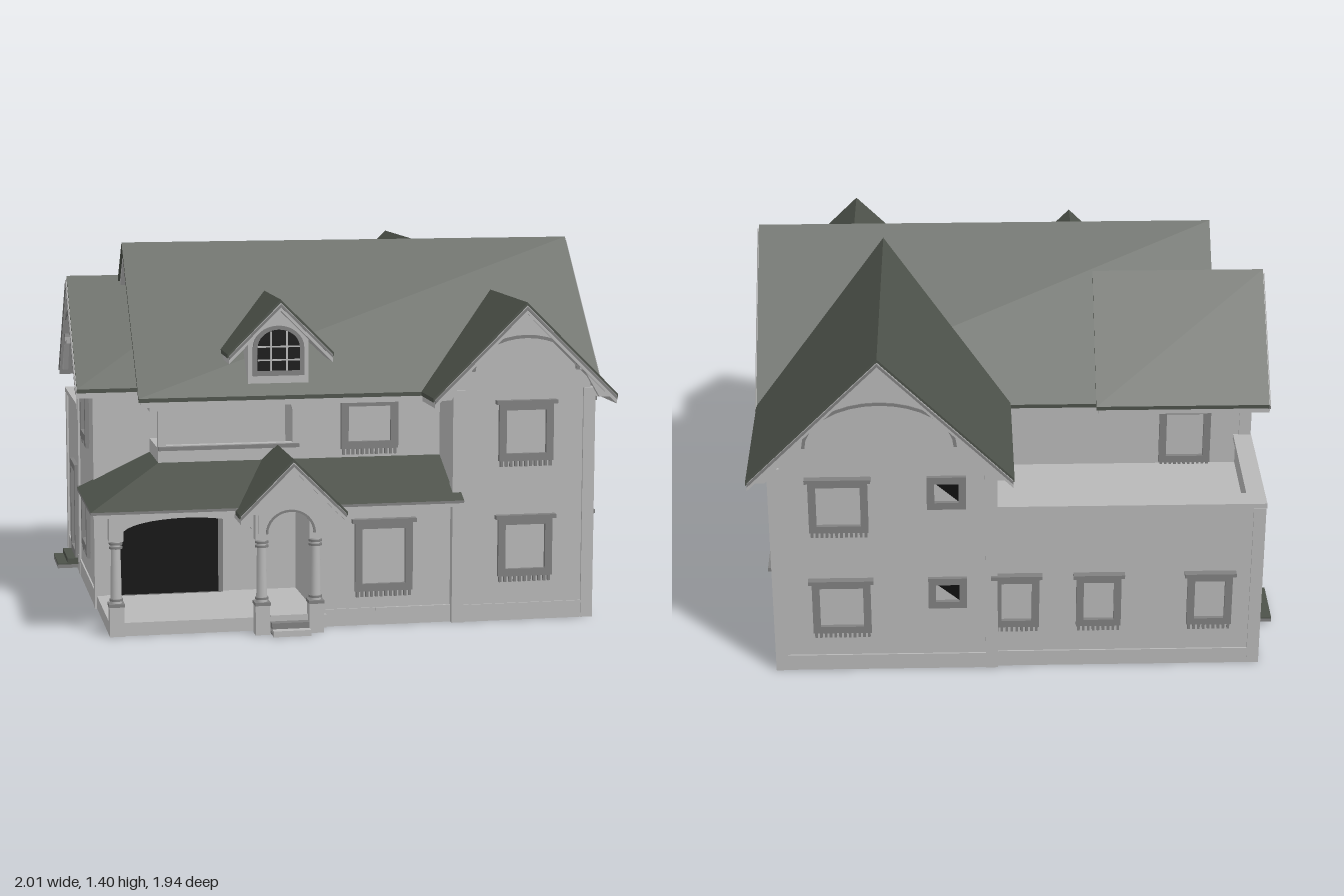
import * as THREE from 'three';

const mat = (name, color) => {
  const m = new THREE.MeshStandardMaterial({ color, side: THREE.DoubleSide });
  m.name = name;
  return m;
};

export function createModel() {
  const wall = mat('wall grey', 0xb8b8b8), trim = mat('trim grey', 0x808080);
  const green = mat('roof green', 0x4d524a), black = mat('dark glass', 0x101010);
  const house = new THREE.Group();
  house.name = 'house';

  const add = (parent, name, geo, m, x = 0, y = 0, z = 0) => {
    const mesh = new THREE.Mesh(geo, m);
    mesh.name = name;
    mesh.position.set(x, y, z);
    parent.add(mesh);
    return mesh;
  };
  // Box given by its two opposite corners
  const box = (parent, name, m, x0, x1, y0, y1, z0, z1) =>
    add(parent, name, new THREE.BoxGeometry(x1 - x0, y1 - y0, z1 - z0), m, (x0 + x1) / 2, (y0 + y1) / 2, (z0 + z1) / 2);
  const poly = (pts) => new THREE.Shape(pts.map(([x, y]) => new THREE.Vector2(x, y)));
  // Flat shape whose front lies at z and which goes back by depth
  const plate = (parent, name, m, shape, depth, z = 0) =>
    add(parent, name, new THREE.ExtrudeGeometry(shape, { depth, bevelEnabled: false, curveSegments: 16 }), m, 0, 0, z - depth);
  const group = (name, x, y, z, rot = 0) => {
    const g = new THREE.Group();
    g.name = name;
    g.position.set(x, y, z);
    g.rotation.y = rot;
    house.add(g);
    return g;
  };
  const arc = (rx, ry, cy, n = 16) => Array.from({ length: n + 1 }, (_, i) => {
    const a = Math.PI * i / n;
    return [rx * Math.cos(a), cy + ry * Math.sin(a)];
  });
  const RIGHT = Math.PI / 2, LEFT = -Math.PI / 2, BACK = Math.PI;

  // ---- Walls ----
  const bodies = [
    ['coreWalls', -0.91, 0.92, 0, 0.87, -0.345, 0.33],
    ['frontRoom', -0.13, 0.4, 0, 0.46, 0.3, 0.79],
    ['upperFrontRoom', -0.17, 0.4, 0.44, 0.87, 0.3, 0.6],
    ['frontWing', 0.38, 0.92, 0, 0.87, 0.3, 0.81],
    ['backWing', 0.09, 0.92, 0, 0.87, -0.89, -0.3],
    ['terraceBlock', -0.91, 0.1, 0, 0.58, -0.88, -0.3],
    ['porchFloor', -0.91, -0.1, 0, 0.05, 0.3, 0.81],
  ];
  for (const [name, ...b] of bodies) box(house, name, wall, ...b);
  // Plinths
  for (const b of [[0.38, 0.926, 0.6, 0.816], [0.09, 0.926, -0.896, 0.8], [-0.13, 0.39, 0.5, 0.796],
    [-0.916, 0.1, -0.886, -0.4], [-0.916, 0, -0.4, 0.33]])
    box(house, 'plinth', wall, b[0], b[1], 0, 0.065, b[2], b[3]);
  // Corner boards
  for (const [x, z, h] of [[0.4, 0.8, 0.88], [0.905, 0.795, 0.88], [0.905, -0.875, 0.88], [0.105, -0.875, 0.88],
    [-0.895, -0.33, 0.88], [-0.895, 0.315, 0.88], [-0.895, -0.865, 0.68]])
    box(house, 'cornerBoard', wall, x - 0.023, x + 0.023, 0, h, z - 0.023, z + 0.023);

  // ---- Terrace parapet ----
  box(house, 'parapetBack', wall, -0.91, 0.1, 0.5, 0.69, -0.88, -0.82);
  box(house, 'parapetLeft', wall, -0.91, -0.86, 0.5, 0.69, -0.88, -0.34);
  box(house, 'parapetCapBack', wall, -0.92, 0.09, 0.685, 0.705, -0.892, -0.81);
  box(house, 'parapetCapLeft', wall, -0.92, -0.85, 0.685, 0.705, -0.892, -0.34);

  // ---- Gable roofs: ridge along local z, front end at local z = 0 ----
  const chevron = (h, e, p, t) => poly([[-h, e], [0, p], [h, e], [h, e - t], [0, p - t], [-h, e - t]]);
  const gableRoof = (name, x, z, rot, h, e, p, len, fascia = true) => {
    const g = group(name, x, 0, z, rot), rise = p - e;
    plate(g, 'roofSlopes', green, chevron(h, e, p, 0.015), len);
    plate(g, 'soffit', wall, chevron(h - 0.005, e - 0.006, p - 0.012, 0.03), len - 0.006, 0.002);
    plate(g, 'bargeBoard', trim, chevron(h - 0.005, e - 0.008, p - 0.016, 0.012), 0.012, 0.006);
    if (fascia) {
      // Arched gable ornament
      const inner = arc(0.55 * h, 0.35 * rise, e + 0.27 * rise);
      plate(g, 'archedFascia', wall, poly([[-h, e - 0.01], [0, p - 0.015], [h, e - 0.01], [h - 0.07, e - 0.01],
        [0.63 * h, e + 0.27 * rise], ...inner, [-0.63 * h, e + 0.27 * rise], [-h + 0.07, e - 0.01]]), 0.02, -0.008);
      plate(g, 'archTrim', trim, poly([...inner, ...arc(0.55 * h + 0.012, 0.35 * rise + 0.012, e + 0.27 * rise).reverse()]), 0.01, -0.004);
    }
    return g;
  };
  // Gable wall filling the end, set back from the roof edge
  const gableWall = (g, w, h, e, p, setback) => {
    const top = (x) => p - 0.03 - (p - e) * x / h;
    plate(g, 'gableWall', wall, poly([[-w, 0.8], [w, 0.8], [w, top(w)], [0, top(0)], [-w, top(w)]]), 0.05, -setback);
  };
  const mainRoof = gableRoof('mainRoof', 1, 0.15, RIGHT, 0.525, 0.86, 1.4, 1.78);
  gableWall(mainRoof, 0.45, 0.525, 0.86, 1.4, 1.68);
  box(mainRoof, 'gablePost', wall, -0.028, 0.028, 0.85, 1.2, -0.04, -0.012);
  gableWall(gableRoof('frontGable', 0.645, 0.87, 0, 0.355, 0.86, 1.21, 0.72), 0.265, 0.355, 0.86, 1.21, 0.06);
  const backGable = gableRoof('backGable', 0.51, -0.965, BACK, 0.49, 0.865, 1.357, 1.11);
  gableWall(backGable, 0.41, 0.49, 0.865, 1.357, 0.075);
  const leftGable = gableRoof('leftGable', -0.98, -0.015, LEFT, 0.385, 0.86, 1.26, 0.67);
  gableWall(leftGable, 0.33, 0.385, 0.86, 1.26, 0.07);

  // ---- Dormer ----
  const dormer = gableRoof('dormer', -0.25, 0.695, 0, 0.2, 1.02, 1.22, 0.42, false);
  plate(dormer, 'dormerWall', wall, poly([[-0.115, 0.85], [0.115, 0.85], [0.115, 1.08], [0, 1.19], [-0.115, 1.08]]), 0.4, -0.06);
  const archShape = (w, y0, y1) => poly([[-w, y0], [w, y0], ...arc(w, w * 0.85, y1)]);
  plate(dormer, 'windowFrame', trim, archShape(0.097, 0.93, 1.035), 0.02, -0.05);
  plate(dormer, 'archedPane', black, archShape(0.08, 0.95, 1.035), 0.008, -0.046);
  for (const x of [-0.03, 0.03]) box(dormer, 'muntin', wall, x - 0.003, x + 0.003, 0.95, 1.097, -0.047, -0.043);
  for (const y of [0.99, 1.04]) box(dormer, 'muntin', wall, -0.08, 0.08, y - 0.003, y + 0.003, -0.047, -0.043);

  // ---- Balcony ----
  const balcony = group('balcony', -0.435, 0, 0.6);
  const face = poly([[-0.265, 0.46], [0.268, 0.46], [0.268, 0.88], [-0.265, 0.88]]);
  const hole = new THREE.Path();
  hole.moveTo(-0.235, 0.67);
  hole.lineTo(0.245, 0.67);
  hole.lineTo(0.245, 0.79);
  hole.quadraticCurveTo(0.24, 0.84, 0.18, 0.845);
  hole.lineTo(-0.17, 0.845);
  hole.quadraticCurveTo(-0.23, 0.84, -0.235, 0.79);
  face.holes.push(hole);
  plate(balcony, 'balconyFront', wall, face, 0.03);
  box(balcony, 'balconyFloor', wall, -0.265, 0.27, 0.44, 0.55, -0.3, -0.01);
  box(balcony, 'balconySide', wall, -0.265, -0.235, 0.46, 0.66, -0.3, -0.01);
  box(balcony, 'balconySideBeam', wall, -0.265, -0.235, 0.83, 0.87, -0.3, -0.01);
  box(balcony, 'balconySill', trim, -0.265, 0.268, 0.653, 0.667, -0.03, 0.015);

  // ---- Porch ----
  // Hipped porch roof: front slope and left slope
  const A = [-0.98, 0.475, 0.87], B = [0.41, 0.475, 0.87], C = [0.41, 0.607, 0.6];
  const D = [-0.7, 0.607, 0.6], E = [-0.98, 0.475, 0.32], F = [-0.7, 0.607, 0.32];
  const hip = new THREE.BufferGeometry();
  hip.setAttribute('position', new THREE.Float32BufferAttribute([A, B, C, A, C, D, A, D, F, A, F, E].flat(), 3));
  hip.computeVertexNormals();
  add(house, 'porchRoof', hip, green);
  box(house, 'porchCeiling', wall, -0.97, 0.4, 0.45, 0.473, 0.32, 0.86);
  box(house, 'porchGutter', trim, -0.98, 0.41, 0.465, 0.475, 0.85, 0.87);
  box(house, 'porchGutterLeft', trim, -0.98, -0.965, 0.465, 0.475, 0.32, 0.87);
  // Arched beams between the columns
  const beam = (name, x, z, rot, w) => plate(group(name, x, 0, z, rot), 'archedBeam', wall,
    poly([[-w, 0.455], [-w, 0.38], ...arc(w - 0.03, 0.055, 0.38).reverse(), [w, 0.38], [w, 0.455]]), 0.03);
  beam('porchBeamFront', -0.62, 0.81, 0, 0.27);
  beam('porchBeamLeft', -0.895, 0.57, LEFT, 0.24);
  // Columns
  const column = (x, z) => {
    const g = group('porchColumn', x, 0, z);
    box(g, 'columnBase', wall, -0.027, 0.027, 0, 0.12, -0.027, 0.027);
    box(g, 'columnBaseCap', trim, -0.029, 0.029, 0.11, 0.122, -0.029, 0.029);
    add(g, 'columnShaft', new THREE.CylinderGeometry(0.017, 0.021, 0.24, 16), wall, 0, 0.24, 0);
    for (const y of [0.135, 0.33, 0.345]) add(g, 'columnRing', new THREE.CylinderGeometry(0.025, 0.025, 0.008, 16), trim, 0, y, 0);
    box(g, 'columnCapital', wall, -0.026, 0.026, 0.355, 0.45, -0.026, 0.026);
  };
  column(-0.883, 0.79);
  for (const x of [-0.353, -0.152]) column(x, 0.86);
  // Entry gable with arch and steps
  const entry = gableRoof('entryRoof', -0.25, 0.96, 0, 0.2, 0.465, 0.665, 0.36, false);
  plate(entry, 'entryArch', wall, poly([[-0.12, 0.38], [-0.12, 0.45], [-0.18, 0.46], [0, 0.64], [0.18, 0.46],
    [0.12, 0.45], [0.12, 0.38], ...arc(0.085, 0.08, 0.38)]), 0.03, -0.065);
  plate(entry, 'entryArchTrim', trim, poly([...arc(0.085, 0.08, 0.38), ...arc(0.093, 0.088, 0.38).reverse()]), 0.006, -0.06);
  for (let i = 0; i < 3; i++)
    box(house, 'entryStep', i % 2 ? trim : wall, -0.32, -0.18, 0, 0.022 * (i + 1), 0.78, 0.93 - i * 0.035);

  // ---- Windows and doors: built facing local +z ----
  const opening = (name, x, y0, y1, z, rot, w, { half = false, dentils = true } = {}) => {
    const g = group(name, x, 0, z, rot), f = 0.028, a = w / 2, d = 0.016;
    box(g, 'frameLeft', trim, -a, -a + f, y0, y1, -0.01, d);
    box(g, 'frameRight', trim, a - f, a, y0, y1, -0.01, d);
    box(g, 'frameTop', trim, -a, a, y1 - f, y1, -0.01, d);
    box(g, 'frameBottom', trim, -a, a, y0, y0 + f, -0.01, d);
    if (dentils) {
      box(g, 'head', trim, -a - 0.012, a + 0.012, y1 - 0.005, y1 + 0.01, -0.01, 0.028);
      const n = Math.round(w / 0.019);
      for (let i = 0; i < n; i++) {
        const cx = -a + 0.01 + i * (w - 0.02) / (n - 1);
        box(g, 'dentil', trim, cx - 0.005, cx + 0.005, y0 - 0.022, y0, -0.005, 0.012);
      }
    }
    if (half) plate(g, 'darkPane', black, poly([[-a + f, y1 - f], [a - f, y0 + f], [a - f, y1 - f]]), 0.004, 0.004);
    return g;
  };
  const floors = [[0.17, 0.395], [0.61, 0.83]], smallFloors = [[0.275, 0.405], [0.705, 0.84]];
  floors.forEach(([y0, y1], i) => {
    for (const z of [0.68, 0.19, -0.21, -0.72])
      opening('rightWindow', 0.92, y0, y1, z, RIGHT, 0.16, { half: !(i === 1 && z === -0.21) });
    opening('frontWingWindow', 0.66, y0, y1, 0.81, 0, 0.21);
    opening('backWindow', 0.67, y0, y1, -0.89, BACK, 0.22);
    opening('leftWindow', -0.91, y0, y1, -0.01, LEFT, 0.22);
  });
  for (const [y0, y1] of smallFloors) {
    opening('smallRightWindow', 0.92, y0, y1, -0.015, RIGHT, 0.145, { half: true, dentils: false });
    opening('smallBackWindow', 0.27, y0, y1, -0.89, BACK, 0.145, { half: true, dentils: false });
  }
  opening('upperFrontWindow', 0.105, 0.64, 0.83, 0.6, 0, 0.22);
  opening('lowerFrontWindow', 0.12, 0.13, 0.395, 0.79, 0, 0.22);
  for (const x of [0.01, -0.3, -0.72]) opening('terraceBlockWindow', x, 0.18, 0.4, -0.88, BACK, 0.17);
  opening('terraceDoor', -0.66, 0.59, 0.83, -0.345, BACK, 0.2);
  opening('sideDoor', -0.91, 0.05, 0.44, -0.51, LEFT, 0.2, { dentils: false });
  box(house, 'sideStepLower', trim, -1, -0.9, 0.01, 0.025, -0.62, -0.4);
  box(house, 'sideStepUpper', green, -0.96, -0.9, 0.025, 0.05, -0.62, -0.4);
  box(house, 'sideStepTread', green, -1, -0.9, 0.025, 0.03, -0.62, -0.4);

  // Large dark porch window
  const porchWindow = opening('porchWindow', -0.63, 0.045, 0.4, 0.335, 0, 0.42);
  box(porchWindow, 'darkPane', black, -0.19, 0.19, 0.055, 0.375, 0.017, 0.022);
  return house;
}
